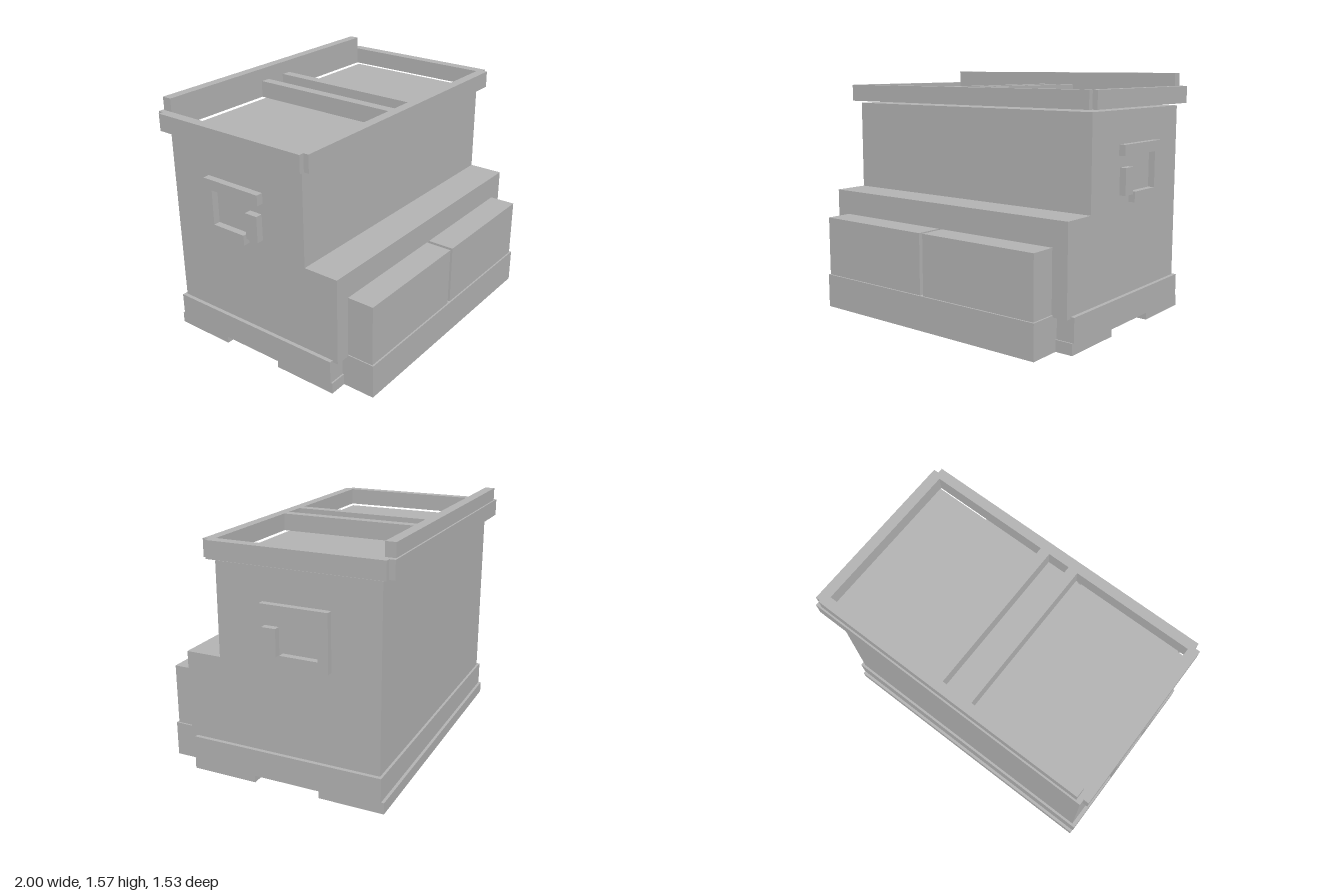
import * as THREE from 'three';

export function createModel() {
  const model = new THREE.Group();
  const grey = new THREE.MeshStandardMaterial({ color: 0xb2b2b2 });
  grey.name = 'grey';

  const add = (name, geometry) => {
    const mesh = new THREE.Mesh(geometry, grey);
    mesh.name = name;
    model.add(mesh);
    return mesh;
  };

  // Box given by its limits on each axis
  const box = (name, x0, x1, y0, y1, z0, z1) =>
    add(name, new THREE.BoxGeometry(x1 - x0, y1 - y0, z1 - z0)
      .translate((x0 + x1) / 2, (y0 + y1) / 2, (z0 + z1) / 2));

  // Side outline of [z, y] points, extruded from x0 to x1
  const sideProfile = (name, points, x0, x1) => {
    const shape = new THREE.Shape(points.map(([z, y]) => new THREE.Vector2(-z, y)));
    const geometry = new THREE.ExtrudeGeometry(shape, { depth: x1 - x0, bevelEnabled: false });
    return add(name, geometry.rotateY(Math.PI / 2).translate(x0, 0, 0));
  };

  // Stepped cabinet body
  sideProfile('body', [
    [-0.69, 0.21], [0.577, 0.21], [0.577, 0.772], [0.345, 0.772], [0.345, 1.36], [-0.69, 1.36],
  ], -0.95, 0.95);

  // Plinth, with a channel running across the underside
  box('plinth', -0.975, 0.975, 0.072, 0.222, -0.706, 0.54);
  sideProfile('plinthFoot', [
    [-0.725, 0], [-0.31, 0], [-0.31, 0.045], [0.12, 0.045],
    [0.12, 0], [0.55, 0], [0.55, 0.072], [-0.725, 0.072],
  ], -0.97, 0.97);

  // Front base and the two boxes standing on it
  box('frontBase', -0.857, 0.857, 0, 0.222, 0.5, 0.763);
  box('frontBoxRight', -0.85, -0.015, 0.222, 0.612, 0.57, 0.752);
  box('frontBoxLeft', 0.011, 0.846, 0.222, 0.612, 0.57, 0.752);

  // Top frame with notched corners, two large openings and a centre slot
  const toPoints = (points) => points.map(([x, z]) => new THREE.Vector2(x, -z));
  const frame = new THREE.Shape(toPoints([
    [-0.967, 0.41], [0.967, 0.41], [0.967, 0.375], [1, 0.375], [1, -0.727], [0.967, -0.727],
    [0.967, -0.763], [-0.967, -0.763], [-0.967, -0.727], [-1, -0.727], [-1, 0.375], [-0.967, 0.375],
  ]));
  for (const [x0, x1] of [[-0.935, -0.14], [-0.075, 0.07], [0.135, 0.932]]) {
    frame.holes.push(new THREE.Path(toPoints([[x0, 0.345], [x0, -0.69], [x1, -0.69], [x1, 0.345]])));
  }
  add('topFrame', new THREE.ExtrudeGeometry(frame, { depth: 0.11, bevelEnabled: false })
    .rotateX(-Math.PI / 2).translate(0, 1.376, 0));

  // Raised rail along the back
  box('backRail', -0.935, 0.932, 1.486, 1.57, -0.752, -0.688);

  // Hooked handle and small latch block on each side
  for (const [side, x0, x1] of [['left', 0.945, 0.992], ['right', -0.995, -0.945]]) {
    sideProfile(side + 'Handle', [
      [0.043, 1.157], [0.043, 1.09], [-0.325, 1.09], [-0.325, 0.863],
      [-0.083, 0.863], [-0.083, 0.797], [-0.388, 0.797], [-0.388, 1.157],
    ], x0, x1);
    box(side + 'Latch', x0, x1, 0.85, 1.018, -0.06, 0.03);
  }

  return model;
}
